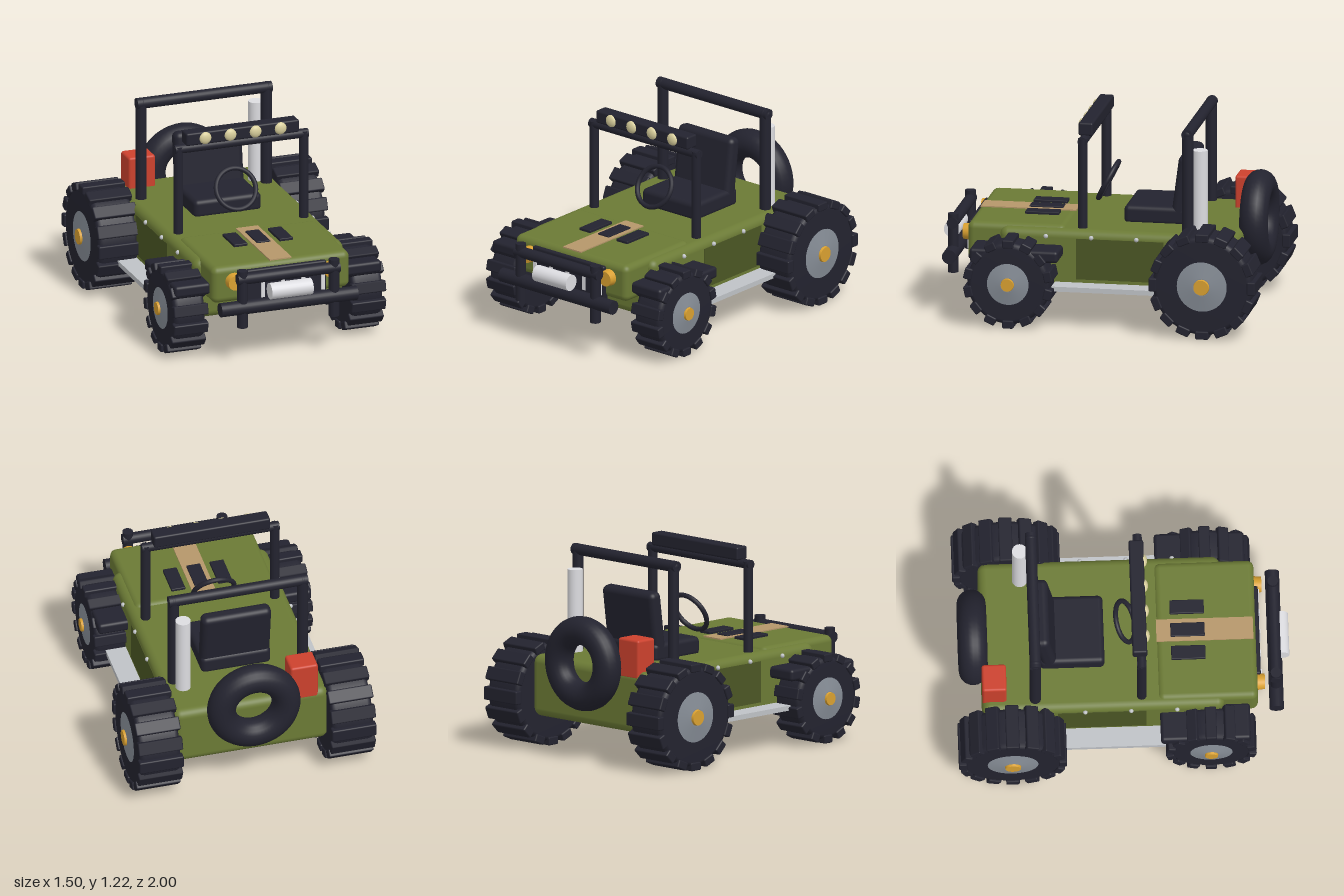
import * as THREE from 'three';
import { RoundedBoxGeometry } from 'three/addons/geometries/RoundedBoxGeometry.js';

const mat = (name, color) => {
  const m = new THREE.MeshStandardMaterial({ color });
  m.name = name;
  return m;
};

export function createModel() {
  const green = mat('olive paint', 0x6b7a35);
  const darkGreen = mat('dark olive paint', 0x4b5624);
  const black = mat('black rubber', 0x23232f);
  const tan = mat('tan stripe', 0xb5966a);
  const cream = mat('cream lamp', 0xd9cf9c);
  const amber = mat('amber', 0xd9a030);
  const red = mat('red can', 0xcc412d);
  const steel = mat('wheel steel', 0x868d96);
  const white = mat('pale metal', 0xdcdce0);
  const silver = mat('silver', 0xbfc2c6);

  const model = new THREE.Group();
  model.name = 'offroadCar';

  const add = (name, geo, material, x = 0, y = 0, z = 0, parent = model) => {
    const m = new THREE.Mesh(geo, material);
    m.name = name;
    m.position.set(x, y, z);
    parent.add(m);
    return m;
  };
  // Box given by its limits, rounded when r > 0
  const box = (name, material, [x0, x1], [y0, y1], [z0, z1], r = 0, parent = model) => {
    const s = [x1 - x0, y1 - y0, z1 - z0];
    const geo = r ? new RoundedBoxGeometry(...s, 4, r) : new THREE.BoxGeometry(...s);
    return add(name, geo, material, (x0 + x1) / 2, (y0 + y1) / 2, (z0 + z1) / 2, parent);
  };
  const post = (name, material, r, y0, y1, x, z) =>
    add(name, new THREE.CylinderGeometry(r, r, y1 - y0, 24), material, x, (y0 + y1) / 2, z);
  const bar = (name, material, r, half, y, z) => {
    const m = add(name, new THREE.CylinderGeometry(r, r, half * 2, 24), material, 0, y, z);
    m.rotation.z = Math.PI / 2;
    return m;
  };

  // Body and hood
  box('body', green, [-0.48, 0.48], [0.2, 0.575], [-0.85, 0.6], 0.05);
  box('hood', green, [-0.44, 0.44], [0.36, 0.59], [0.2, 0.8], 0.04);
  box('hoodStripe', tan, [-0.07, 0.07], [0.589, 0.597], [0.205, 0.785]);
  for (const x of [-0.145, 0, 0.145])
    box('hoodVent', black, [x - 0.043, x + 0.043], [0.585, 0.606], [0.29, 0.495], 0.005);

  // Grille and headlights
  box('grille', black, [-0.28, 0.28], [0.32, 0.56], [0.78, 0.822], 0.012);
  for (const x of [-0.255, -0.128, 0, 0.128, 0.255])
    box('grilleSlat', white, [x - 0.012, x + 0.012], [0.38, 0.53], [0.82, 0.829]);

  // Seat: cushion and reclined back
  box('seatCushion', black, [-0.215, 0.215], [0.56, 0.675], [-0.5, -0.11], 0.03);
  const back = box('seatBack', black, [-0.215, 0.215], [0.57, 0.99], [-0.505, -0.415], 0.035);
  back.rotation.x = -0.13;

  // Steering wheel
  const steering = add('steeringWheel', new THREE.TorusGeometry(0.125, 0.015, 12, 40), black, 0, 0.775, 0.02);
  steering.rotation.x = -0.48;

  // Roll bar, windshield frame and lamp bar
  bar('rollBarTop', black, 0.034, 0.43, 1.18, -0.532);
  bar('windshieldTop', black, 0.028, 0.425, 1.108, 0.105);
  box('lampBar', black, [-0.36, 0.36], [1.13, 1.21], [0.052, 0.14], 0.012);
  for (const x of [-0.24, -0.08, 0.08, 0.24]) {
    const lamp = add('roofLamp', new THREE.SphereGeometry(0.038, 24, 16), cream, x, 1.17, 0.138);
    lamp.scale.z = 0.55;
  }

  // Front bumper and winch
  bar('bumperLower', black, 0.043, 0.435, 0.365, 0.912);
  bar('bumperUpper', black, 0.034, 0.325, 0.545, 0.912);
  bar('winchDrum', white, 0.05, 0.132, 0.46, 0.948);

  // Rear load: spare tyre, fuel can, exhaust stack
  add('spareTyre', new THREE.TorusGeometry(0.2, 0.087, 20, 48), black, 0, 0.585, -0.896);
  box('fuelCan', red, [-0.413, -0.243], [0.53, 0.77], [-0.848, -0.703], 0.015);
  post('exhaustStack', white, 0.046, 0.55, 1.075, 0.358, -0.6);

  // Wheel with its outer side towards +x, centred on its axle
  const makeWheel = (name, r, width, hubR, capR, capOut, count) => {
    const g = new THREE.Group();
    g.name = name;
    const h = width / 2, tyreR = r - 0.022, b = 0.03;
    const profile = [
      [0, -h + 0.01], [tyreR - b, -h + 0.01], [tyreR - b * 0.3, -h + 0.018], [tyreR, -h + b + 0.01],
      [tyreR, h - b - 0.01], [tyreR - b * 0.3, h - 0.018], [tyreR - b, h - 0.01], [0, h - 0.01],
    ].map(([x, y]) => new THREE.Vector2(x, y));
    const tyre = add('tyre', new THREE.LatheGeometry(profile, 48), black, 0, 0, 0, g);
    tyre.rotation.z = -Math.PI / 2;
    // Tread blocks round the tyre
    const block = new RoundedBoxGeometry(width, 0.05, r * 0.25, 1, 0.008);
    for (let i = 0; i < count; i++) {
      const a = Math.PI + (i / count) * Math.PI * 2;
      const t = add('treadBlock', block, black, 0, Math.cos(a) * (r - 0.025), Math.sin(a) * (r - 0.025), g);
      t.rotation.x = a;
    }
    // Slightly domed steel disc and amber hub cap
    const disc = add('wheelDisc', new THREE.CylinderGeometry(capR, hubR, 0.016, 40), steel, h - 0.004, 0, 0, g);
    disc.rotation.z = -Math.PI / 2;
    const cap = add('hubCap', new THREE.CylinderGeometry(capR * 0.85, capR, capOut + 0.02, 20), amber, h + capOut / 2 - 0.01, 0, 0, g);
    cap.rotation.z = -Math.PI / 2;
    return g;
  };

  // Parts mirrored on both sides
  for (const s of [1, -1]) {
    const span = (a, b) => (s > 0 ? [a, b] : [-b, -a]);
    const side = s > 0 ? 'left' : 'right';

    const front = makeWheel(side + 'FrontWheel', 0.272, 0.22, 0.138, 0.045, 0.018, 14);
    front.position.set(s * 0.567, 0.272, 0.513);
    const rear = makeWheel(side + 'RearWheel', 0.324, 0.275, 0.166, 0.054, 0.018, 16);
    rear.position.set(s * 0.597, 0.324, -0.676);
    for (const w of [front, rear]) {
      if (s < 0) w.rotation.y = Math.PI;
      model.add(w);
    }

    box(side + 'Fender', black, span(0.43, 0.66), [0.41, 0.482], [0.212, 0.75], 0.02);
    box(side + 'DoorPanel', darkGreen, span(0.475, 0.483), [0.275, 0.525], [-0.4, 0.13]);
    box(side + 'RunningBoard', silver, span(0.45, 0.605), [0.225, 0.255], [-0.42, 0.26]);
    for (const z of [0.315, 0.04, -0.235])
      add(side + 'Bolt', new THREE.SphereGeometry(0.014, 12, 8), silver, s * 0.481, 0.533, z);

    const lamp = add(side + 'Headlight', new THREE.CylinderGeometry(0.046, 0.052, 0.05, 28), amber, s * 0.308, 0.498, 0.82);
    lamp.rotation.x = Math.PI / 2;

    post(side + 'RollBarPost', black, 0.034, 0.54, 1.185, s * 0.4, -0.532);
    post(side + 'WindshieldPost', black, 0.029, 0.54, 1.125, s * 0.4, 0.105);
    add(side + 'RollBarCorner', new THREE.SphereGeometry(0.035, 20, 14), black, s * 0.4, 1.18, -0.532);
    post(side + 'BumperPost', black, 0.032, 0.24, 0.6, s * 0.292, 0.912);
  }

  return model;
}
